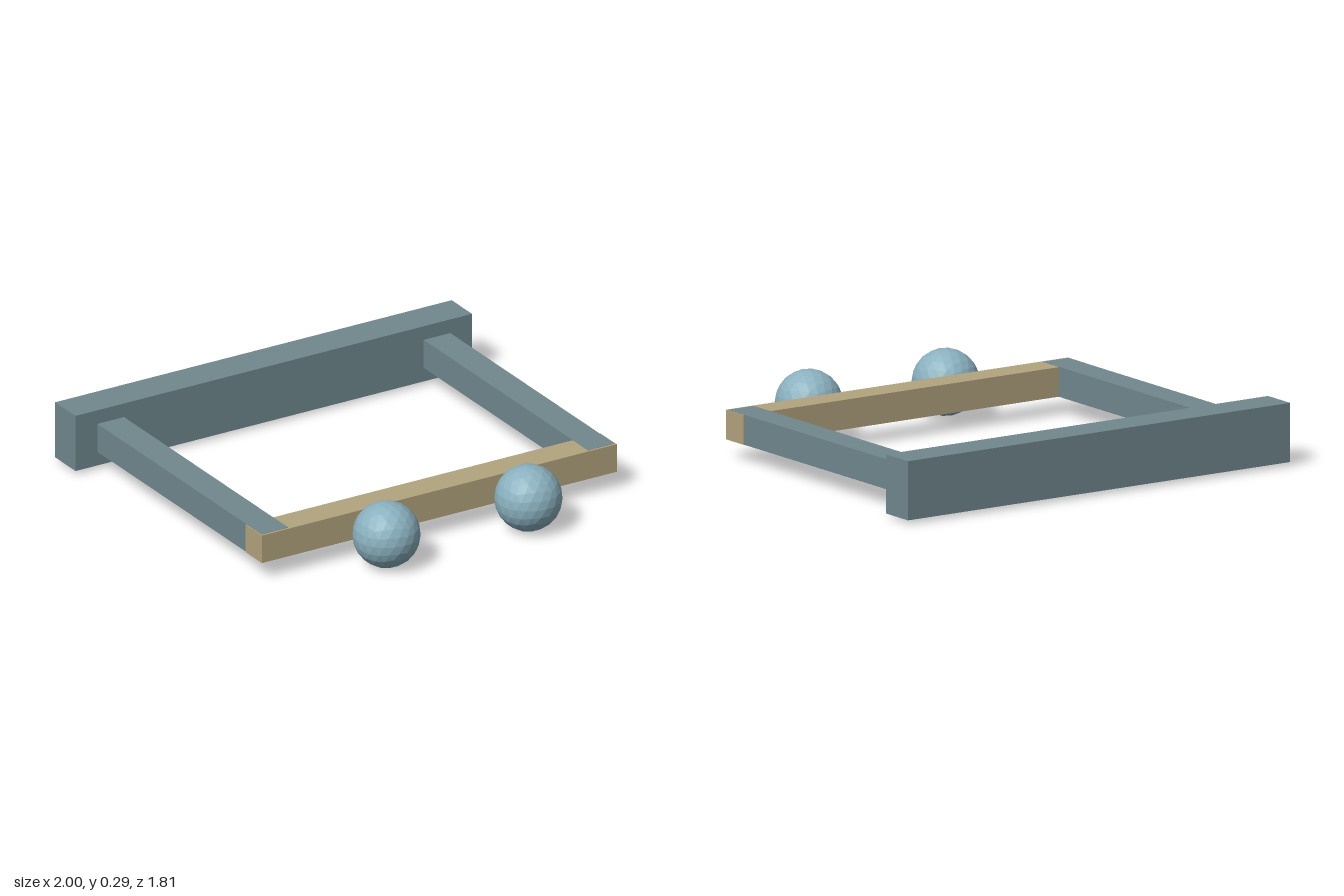
import * as THREE from 'three';

export function createModel() {
  const model = new THREE.Group();
  const material = (name, color) => {
    const m = new THREE.MeshStandardMaterial({ color });
    m.name = name;
    return m;
  };
  const slate = material('slate', 0x70888e);
  const tan = material('tan', 0xb2a47e);
  const paleBlue = material('paleBlue', 0x8ab1bf);

  const add = (name, geometry, mat, x, y, z) => {
    const mesh = new THREE.Mesh(geometry, mat);
    mesh.name = name;
    mesh.position.set(x, y, z);
    model.add(mesh);
  };

  // Cross beams
  add('rearBeam', new THREE.BoxGeometry(2, 0.26, 0.166), slate, 0, 0.15, -0.822);
  add('frontBar', new THREE.BoxGeometry(1.79, 0.13, 0.134), tan, 0, 0.15, 0.543);

  // Faceted ball with a vertex at its top; polyhedron geometry is flat-shaded up to its normals
  const ball = new THREE.IcosahedronGeometry(0.147, 3);
  ball.rotateZ(-Math.atan(2 / (1 + Math.sqrt(5))));
  ball.computeVertexNormals();

  // Mirrored side rails, a hair thicker than the front bar they overlap, and balls
  for (const [side, s] of [['left', 1], ['right', -1]]) {
    add(side + 'Rail', new THREE.BoxGeometry(0.134, 0.132, 1.343), slate, s * 0.823, 0.15, -0.0715);
    add(side + 'Ball', ball, paleBlue, s * 0.358, 0.15, 0.757);
  }
  return model;
}
